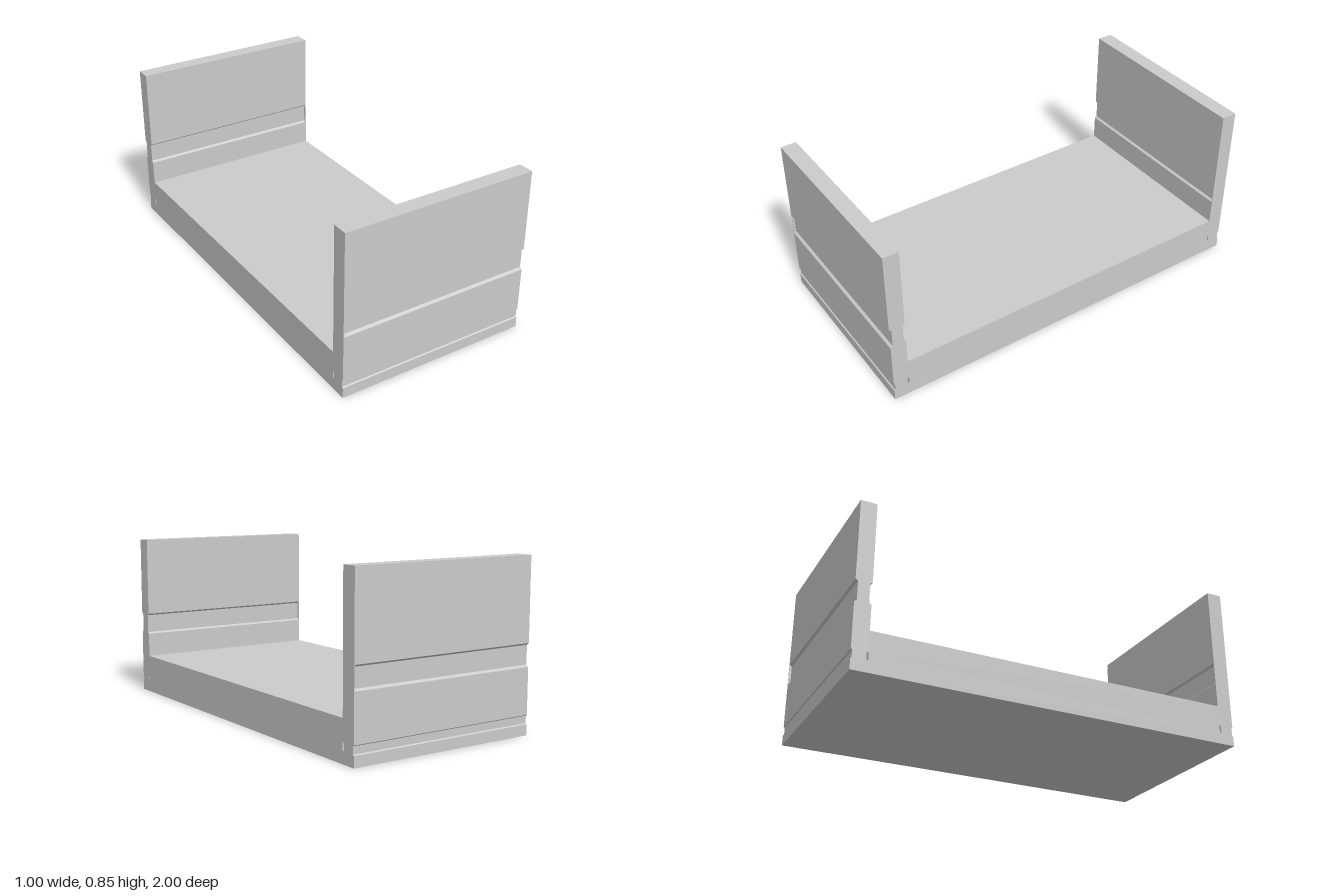
import * as THREE from 'three';

const HALF = 1, INNER = 0.92, FLOOR = 0.2, TOP = 0.845;
const CAP = 0.004; // thin plate closing one end of each wall's grooves

// Groove with bevelled edges cut into a face at z, going from y0 to y1.
function groove(z, y0, y1, depth) {
  const s = Math.abs(depth) * 0.8;
  return [[z, y0], [z + depth, y0 + s], [z + depth, y1 - s], [z, y1]];
}

// U-shaped cross-section in (z, y); each wall may be grooved or plain.
function profile(frontGrooved, backGrooved) {
  // Points of one wall from the outer bottom corner to the inner foot.
  const wall = (grooved) => [
    [HALF, 0],
    ...groove(HALF, 0.053, 0.098, -0.006),
    ...(grooved ? groove(HALF, 0.325, 0.437, -0.012) : []),
    [HALF, TOP], [INNER, TOP],
    ...(grooved ? groove(INNER, 0.325, 0.437, 0.011).reverse() : []),
    [INNER, FLOOR],
  ];
  const front = wall(frontGrooved);
  const back = wall(backGrooved).map(([z, y]) => [-z, y]).reverse();
  const shape = new THREE.Shape([...front, ...back].map(([z, y]) => new THREE.Vector2(z, y)));
  // Narrow slots running through the base below the walls
  for (const side of [1, -1]) {
    const slot = [[0.92, 0.055], [0.929, 0.063], [0.929, 0.091], [0.92, 0.099]];
    shape.holes.push(new THREE.Path(slot.map(([z, y]) => new THREE.Vector2(side * z, y))));
  }
  return shape;
}

export function createModel() {
  const model = new THREE.Group();
  model.name = 'channelBracket';
  const material = new THREE.MeshStandardMaterial({ color: 0xcccccc, flatShading: true });

  // Extrudes a cross-section along x between xMin and xMax.
  function addSection(name, shape, xMin, xMax) {
    const geometry = new THREE.ExtrudeGeometry(shape, { depth: xMax - xMin, bevelEnabled: false });
    geometry.rotateY(-Math.PI / 2).translate(xMax, 0, 0);
    const mesh = new THREE.Mesh(geometry, material);
    mesh.name = name;
    model.add(mesh);
  }

  // Main channel, then end plates that each close the grooves of one wall
  addSection('channelBody', profile(true, true), -0.5 + CAP, 0.5 - CAP);
  addSection('leftEndPlate', profile(true, false), 0.5 - CAP, 0.5);
  addSection('rightEndPlate', profile(false, true), -0.5, -0.5 + CAP);
  return model;
}
